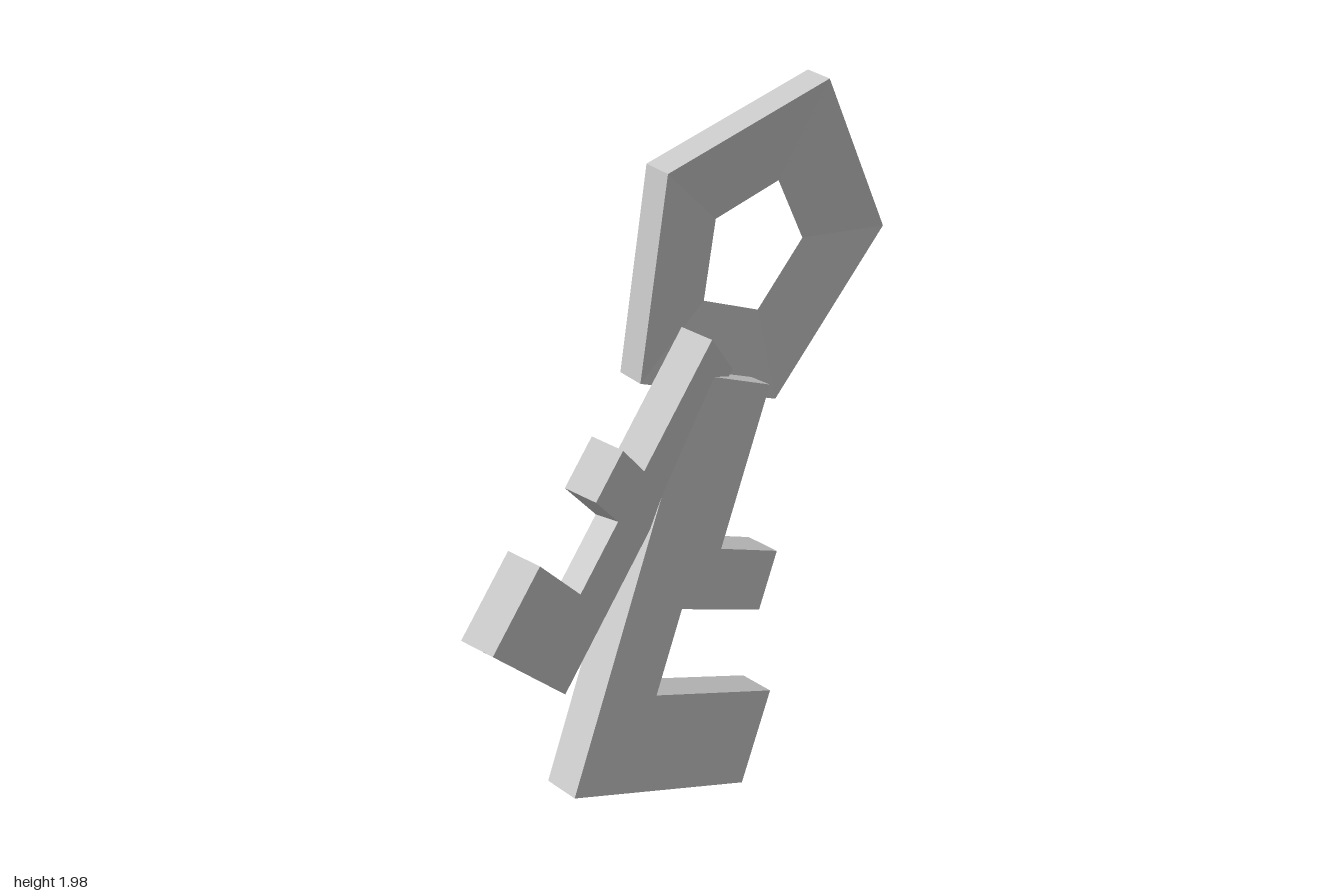
import * as THREE from 'three';

const material = new THREE.MeshStandardMaterial({ color: 0xcccccc, flatShading: true });

// Places a geometry by origin, its local x direction and its face normal (local z).
function place(name, geometry, origin, xDir, normal, scale = 1) {
  const z = new THREE.Vector3(...normal).normalize();
  const y = new THREE.Vector3().crossVectors(z, new THREE.Vector3(...xDir)).normalize();
  const x = new THREE.Vector3().crossVectors(y, z);
  const mesh = new THREE.Mesh(geometry, material);
  mesh.name = name;
  mesh.quaternion.setFromRotationMatrix(new THREE.Matrix4().makeBasis(x, y, z));
  mesh.position.set(...origin);
  mesh.scale.setScalar(scale);
  return mesh;
}

// Flat key blade: straight shaft, one short tooth, a long foot, and a slot with a slanted floor.
function bladeGeometry() {
  const thickness = 0.108, shaft = 0.28, slot = 0.197;
  const outline = [
    [0, 0], [0.662, 0], [0.662, 0.284], [slot, 0.284], [slot, 0.529],
    [0.508, 0.529], [0.508, 0.7], [shaft, 0.7], [shaft, 1.153], [0, 1.153],
  ].map(([x, y]) => new THREE.Vector2(x, y));
  const geometry = new THREE.ExtrudeGeometry(new THREE.Shape(outline), { depth: thickness, bevelEnabled: false });

  // The slot is shallower on the back face
  const p = geometry.attributes.position;
  for (let i = 0; i < p.count; i++) {
    if (p.getZ(i) < 0.01 && Math.abs(p.getX(i) - slot) < 0.001) p.setX(i, shaft);
  }
  geometry.computeVertexNormals();
  return geometry;
}

// Five-sided ring with a triangular section: flat rim outside, sharp edge at the hole.
function ringGeometry() {
  const outer = 0.46, inner = 0.185, half = 0.037;
  const profile = [[inner, 0], [outer, -half], [outer, half], [inner, 0]]
    .map(([r, y]) => new THREE.Vector2(r, y));
  const geometry = new THREE.LatheGeometry(profile, 5, Math.PI / 2).rotateX(Math.PI / 2).toNonIndexed();
  geometry.computeVertexNormals();
  return geometry;
}

export function createModel() {
  const group = new THREE.Group();
  group.name = 'keysOnRing';
  const blade = bladeGeometry();

  group.add(place('ring', ringGeometry(), [0.34, 1.585, 0.002], [0.186, 0.417, 0.061], [-0.204, -0.0555, 1]));
  group.add(place('largeKey', blade, [-0.389, 0.299, -0.123], [0.585, -0.278, 0.135], [-0.203, 0.06, 1]));
  // Smaller key, turned over
  group.add(place('smallKey', blade, [-0.43, 0.655, -0.02], [-0.365, 0.375, 0.097], [-0.099, 0.162, -1], 0.804));
  return group;
}
